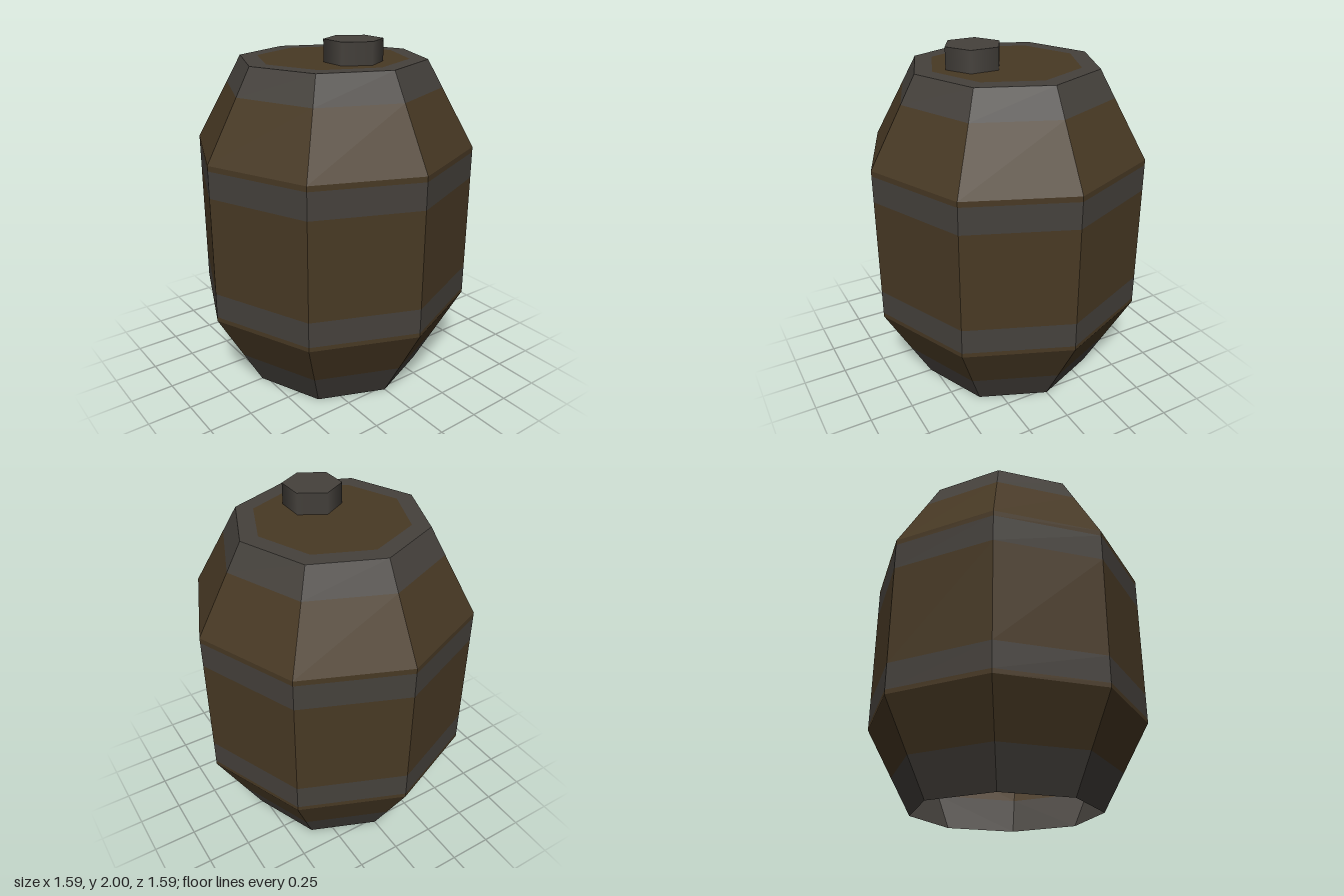
import * as THREE from 'three';

export function createModel() {
  const model = new THREE.Group();
  model.name = 'barrel';

  const wood = new THREE.MeshStandardMaterial({ color: 0x483924, side: THREE.DoubleSide });
  wood.name = 'dark wood';
  const iron = new THREE.MeshStandardMaterial({ color: 0x45413c, side: THREE.DoubleSide });
  iron.name = 'dull iron';

  const add = (name, geometry, material, x = 0, y = 0, z = 0) => {
    const mesh = new THREE.Mesh(geometry, material);
    mesh.name = name;
    mesh.position.set(x, y, z);
    model.add(mesh);
    return mesh;
  };
  // one normal per face for the faceted sides
  const faceted = (geometry) => {
    const flat = geometry.toNonIndexed();
    flat.computeVertexNormals();
    return flat;
  };

  // eight-sided wall, stacked from the open bottom up: [name, y0, r0, y1, r1, material]
  const END = 0.525, MID = 0.795;
  const bands = [
    ['bottomHoop', 0, END, 0.21, 0.641, iron],
    ['lowerStaves', 0.21, 0.641, 0.49, MID, wood],
    ['lowerBellyEdge', 0.49, MID, 0.515, MID, wood],
    ['lowerHoop', 0.515, MID, 0.66, MID, iron],
    ['bellyStaves', 0.66, MID, 1.22, MID, wood],
    ['upperHoop', 1.22, MID, 1.37, MID, iron],
    ['upperBellyEdge', 1.37, MID, 1.4, MID, wood],
    ['upperStaves', 1.4, MID, 1.73, 0.609, wood],
    ['topHoop', 1.73, 0.609, 1.88, END, iron],
  ];
  for (const [name, y0, r0, y1, r1, material] of bands) {
    const wall = new THREE.CylinderGeometry(r1, r0, y1 - y0, 8, 1, true);
    add(name, faceted(wall), material, 0, (y0 + y1) / 2, 0);
  }

  // closed top: iron rim around a wooden lid
  add('topRim', new THREE.RingGeometry(0.425, END, 8).rotateX(-Math.PI / 2), iron, 0, 1.88, 0);
  add('lid', new THREE.CircleGeometry(0.425, 8).rotateX(-Math.PI / 2), wood, 0, 1.88, 0);

  // six-sided bung, off centre
  const bung = new THREE.CylinderGeometry(0.16, 0.16, 0.12, 6).rotateY(Math.PI / 2);
  add('bung', bung, iron, 0.19, 1.94, 0);

  return model;
}
